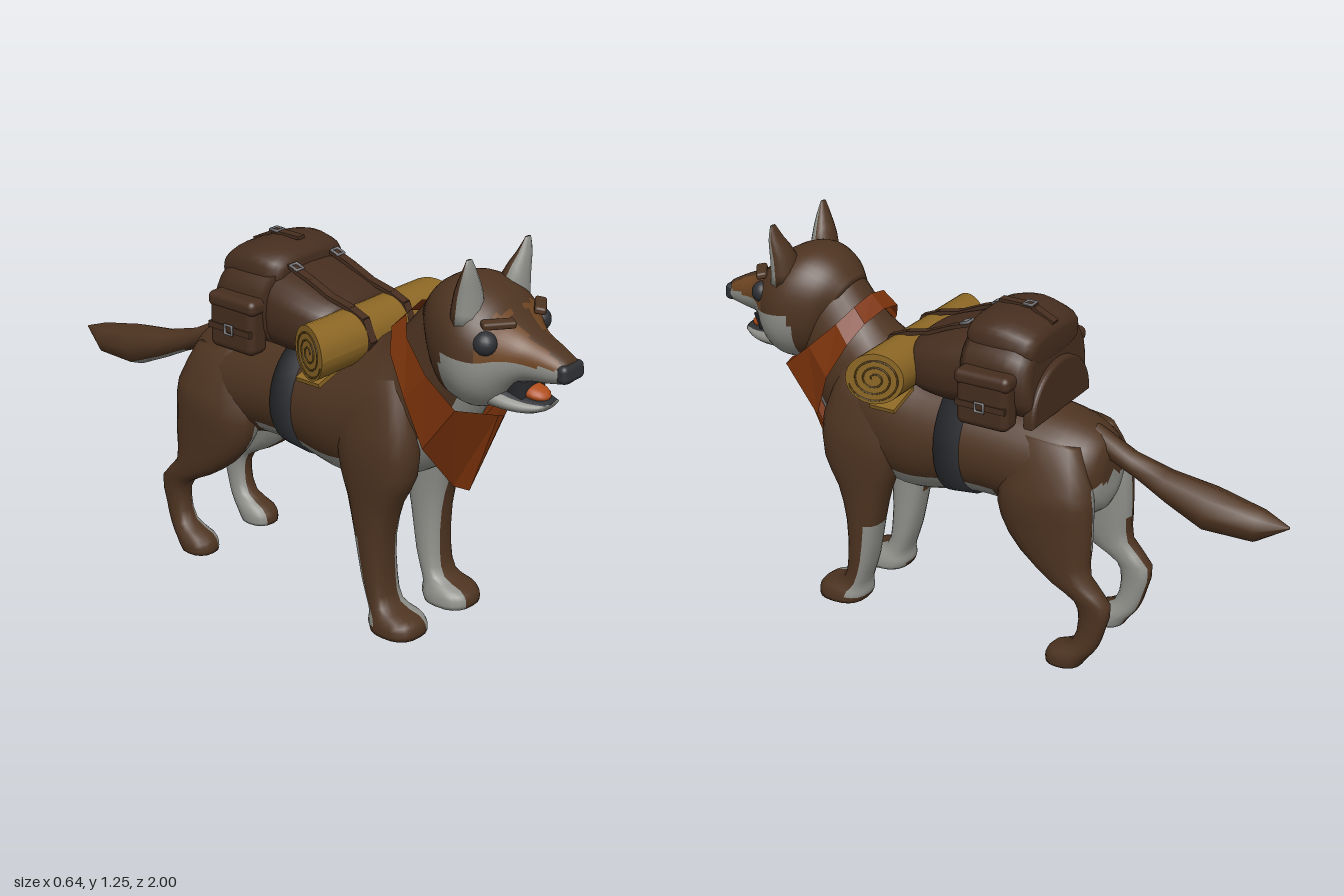
import * as THREE from 'three';
import { RoundedBoxGeometry } from 'three/addons/geometries/RoundedBoxGeometry.js';

const mat = (name, color, side = THREE.FrontSide) => {
  const m = new THREE.MeshStandardMaterial({ color, side });
  m.name = name;
  return m;
};

export function createModel() {
  const model = new THREE.Group(), dog = new THREE.Group(), pack = new THREE.Group();
  model.name = 'dogWithBackpack';
  dog.name = 'dog';
  pack.name = 'backpack';
  dog.position.x = -0.01;
  model.add(dog, pack);
  const brown = mat('brown fur', 0x4e3421), white = mat('pale fur', 0x90918b);
  const tan = mat('tan fur', 0x6e4522), orange = mat('orange cloth', 0x7e340b, THREE.DoubleSide);
  const gold = mat('gold blanket', 0x8c6725), goldDark = mat('dark gold seam', 0x5c4416);
  const leather = mat('leather', 0x462e1f), dark = mat('charcoal', 0x2e3034);
  const metal = mat('buckle metal', 0x77777a), red = mat('tongue', 0xb04d1a);

  let parent = dog;
  const add = (name, geo, material, pos = [0, 0, 0], rot = [0, 0, 0]) => {
    const m = new THREE.Mesh(geo, material);
    m.name = name;
    m.position.set(...pos);
    m.rotation.set(...rot);
    parent.add(m);
    return m;
  };

  // Skin over oval rings [zA, yA, zB, yB, halfWidth, xCentre]; A and B are opposite points of the ring.
  // rule(|x|, y, z, c) picks the material of a face; c runs from 1 at A to -1 at B.
  function loft(name, rings, mats, rule = () => 0, { n = 24, sub = 3, p = 1, s = 1 } = {}) {
    const rows = [];
    const R = i => rings[Math.min(Math.max(i, 0), rings.length - 1)];
    for (let i = 0; i < rings.length - 1; i++) {
      for (let k = 0; k < sub; k++) {
        const t = k / sub;
        rows.push(R(i).map((b, q) => {
          const a = R(i - 1)[q], c = R(i + 1)[q], d = R(i + 2)[q];
          return b + 0.5 * t * (c - a + t * (2 * a - 5 * b + 4 * c - d + t * (3 * (b - c) + d - a)));
        }));
      }
    }
    rows.push(R(rings.length));
    const pos = [], cs = [], groups = mats.map(() => []);
    const pw = v => Math.sign(v) * Math.abs(v) ** p;
    for (const [za, ya, zb, yb, w, xc = 0] of rows) {
      for (let j = 0; j < n; j++) {
        const a = (j / n) * Math.PI * 2, c = pw(Math.cos(a));
        pos.push(s * (xc + w * pw(Math.sin(a))), (ya + yb + c * (ya - yb)) / 2, (za + zb + c * (za - zb)) / 2);
        cs.push(c);
      }
    }
    for (const [za, ya, zb, yb, , xc = 0] of [rows[0], rows.at(-1)]) {
      pos.push(s * xc, (ya + yb) / 2, (za + zb) / 2);
      cs.push(0);
    }
    const face = (...ids) => {
      const mean = f => ids.reduce((sum, i) => sum + f(i), 0) / ids.length;
      const g = groups[rule(mean(i => Math.abs(pos[3 * i])), mean(i => pos[3 * i + 1]), mean(i => pos[3 * i + 2]), mean(i => cs[i]))];
      for (let k = 1; k < ids.length - 1; k++) {
        g.push(...(s > 0 ? [ids[0], ids[k], ids[k + 1]] : [ids[0], ids[k + 1], ids[k]]));
      }
    };
    const last = (rows.length - 1) * n;
    for (let j = 0; j < n; j++) {
      const j1 = (j + 1) % n;
      for (let i = 0; i < last; i += n) face(i + j, i + n + j, i + n + j1, i + j1);
      face(last + n, j, j1);
      face(last + n + 1, last + j1, last + j);
    }
    const geo = new THREE.BufferGeometry();
    geo.setAttribute('position', new THREE.Float32BufferAttribute(pos, 3));
    geo.setIndex(groups.flat());
    let start = 0;
    groups.forEach((g, i) => { geo.addGroup(start, g.length, i); start += g.length; });
    geo.computeVertexNormals();
    return add(name, geo, mats);
  }

  // Body and neck
  const fur = [brown, white];
  loft('body', [
    [-0.42, 0.69, -0.42, 0.56, 0.05], [-0.39, 0.74, -0.40, 0.49, 0.12], [-0.30, 0.78, -0.30, 0.44, 0.17],
    [-0.20, 0.80, -0.20, 0.43, 0.18], [-0.08, 0.81, -0.08, 0.455, 0.185], [0.06, 0.83, 0.06, 0.45, 0.19],
    [0.20, 0.85, 0.20, 0.42, 0.20], [0.32, 0.89, 0.30, 0.42, 0.198], [0.38, 0.92, 0.45, 0.47, 0.182],
    [0.43, 0.97, 0.57, 0.55, 0.148], [0.47, 1.02, 0.65, 0.68, 0.138], [0.53, 1.09, 0.70, 0.79, 0.132],
    [0.58, 1.10, 0.71, 0.82, 0.125]], fur,
  (x, y, z) => (z > -0.08 && y < 0.53) || (z > 0.5 && x < 0.12 && y < 0.78) || (z < -0.34 && y < 0.6) ? 1 : 0, { n: 32 });

  // Tail, tip to root
  loft('tail', [
    [-1.0, 0.577, -1.0, 0.57, 0.004], [-0.91, 0.61, -0.90, 0.505, 0.055], [-0.75, 0.645, -0.74, 0.505, 0.074],
    [-0.60, 0.665, -0.62, 0.56, 0.057], [-0.48, 0.70, -0.52, 0.61, 0.04], [-0.36, 0.765, -0.40, 0.66, 0.035]],
  fur, (x, y, z, c) => (c < -0.7 && z < -0.5 ? 1 : 0), { n: 8, sub: 1 });

  // Head and muzzle
  loft('head', [
    [0.50, 1.06, 0.60, 0.86, 0.10], [0.55, 1.12, 0.62, 0.80, 0.145], [0.62, 1.155, 0.66, 0.78, 0.173],
    [0.69, 1.15, 0.72, 0.775, 0.185], [0.76, 1.115, 0.77, 0.80, 0.166], [0.81, 1.065, 0.82, 0.86, 0.12],
    [0.86, 1.03, 0.86, 0.885, 0.085], [0.93, 1.0, 0.93, 0.895, 0.062], [0.985, 0.972, 0.98, 0.905, 0.046]],
  [brown, white, tan], (x, y, z) => {
    if (z > 0.65 && y < 0.955 + 0.15 * Math.max(0, x - 0.08)) return 1;
    return z > 0.77 && x > 0.035 && y < 1.085 ? 2 : 0;
  }, { n: 40, sub: 4, p: 0.9 });
  loft('lowerJaw', [
    [0.70, 0.90, 0.70, 0.785, 0.10], [0.80, 0.86, 0.80, 0.785, 0.09], [0.87, 0.842, 0.87, 0.79, 0.068],
    [0.925, 0.835, 0.912, 0.806, 0.04]], [white, dark], (x, y, z, c) => (c > 0.5 && z > 0.78 ? 1 : 0), { n: 20 });
  add('mouth', new THREE.CylinderGeometry(0.09, 0.07, 0.07, 4).rotateY(Math.PI / 4), dark, [0, 0.86, 0.805]);
  add('tongue', new THREE.SphereGeometry(1, 16, 10), red, [0, 0.85, 0.865], [0.2, 0, 0]).scale.set(0.04, 0.022, 0.05);
  add('nose', new RoundedBoxGeometry(0.1, 0.055, 0.04, 3, 0.017), dark, [0, 0.94, 0.978], [-0.1, 0, 0]);

  // Paired parts: ears, eyes, brows, legs
  for (const s of [1, -1]) {
    const side = s > 0 ? 'left' : 'right';
    loft(side + 'Ear', [
      [0.65, 1.06, 0.745, 1.04, 0.06, 0.108], [0.665, 1.14, 0.74, 1.13, 0.052, 0.113],
      [0.695, 1.20, 0.735, 1.20, 0.031, 0.13], [0.715, 1.245, 0.725, 1.245, 0.012, 0.138]],
    fur, (x, y, z, c) => (c < -0.1 ? 1 : 0), { n: 12, sub: 2, s });
    add(side + 'Eye', new THREE.SphereGeometry(0.036, 16, 12), dark, [s * 0.13, 1.01, 0.777]);
    add(side + 'Brow', new RoundedBoxGeometry(0.1, 0.022, 0.035, 2, 0.008), brown,
      [s * 0.1, 1.065, 0.8], [0.2, s * 0.6, s * -0.1]);
    loft(side + 'FrontLeg', [
      [0.48, 0.82, 0.26, 0.78, 0.04, 0.12], [0.54, 0.66, 0.26, 0.62, 0.073, 0.135], [0.54, 0.52, 0.28, 0.50, 0.073, 0.138],
      [0.49, 0.42, 0.31, 0.42, 0.067, 0.137], [0.46, 0.30, 0.34, 0.30, 0.062, 0.137], [0.46, 0.16, 0.37, 0.16, 0.06, 0.133],
      [0.48, 0.08, 0.40, 0.07, 0.061, 0.132], [0.55, 0.055, 0.40, 0.04, 0.073, 0.132], [0.575, 0.03, 0.40, 0.02, 0.08, 0.132],
      [0.575, 0, 0.41, 0, 0.08, 0.132]], fur,
    (x, y, z, c) => (y < 0.6 && x < 0.105) || (c < -0.4 && y < 0.28 && y > 0.02) || y < 0.002 ? 1 : 0, { n: 20, sub: 2, p: 0.8, s });
    loft(side + 'HindLeg', [
      [-0.16, 0.74, -0.36, 0.72, 0.035, 0.11], [-0.10, 0.57, -0.41, 0.60, 0.078, 0.13], [-0.11, 0.46, -0.42, 0.50, 0.073, 0.135],
      [-0.18, 0.36, -0.42, 0.40, 0.062, 0.14], [-0.29, 0.28, -0.42, 0.31, 0.05, 0.145], [-0.37, 0.235, -0.49, 0.23, 0.04, 0.145],
      [-0.39, 0.17, -0.475, 0.14, 0.036, 0.145], [-0.37, 0.09, -0.45, 0.07, 0.042, 0.145], [-0.30, 0.055, -0.42, 0.03, 0.056, 0.145],
      [-0.28, 0.025, -0.41, 0.015, 0.058, 0.145], [-0.28, 0, -0.40, 0, 0.056, 0.145]], fur,
    (x, y) => (x < 0.128 && y < 0.6) || y < 0.002 ? 1 : 0, { n: 16, sub: 2, p: 0.85, s });
  }

  // Bandana: upper and lower edge points, nape to throat, mirrored
  const upper = [[0, 1.025, 0.45], [0.085, 1.005, 0.46], [0.13, 0.955, 0.50], [0.155, 0.87, 0.59], [0.143, 0.785, 0.69], [0.02, 0.75, 0.755], [0, 0.745, 0.76]];
  const lower = [[0, 0.98, 0.405], [0.095, 0.96, 0.415], [0.145, 0.90, 0.45], [0.164, 0.78, 0.52], [0.143, 0.63, 0.575], [0.02, 0.475, 0.60], [0, 0.468, 0.645]];
  const flip = ([x, y, z]) => [-x, y, z];
  const cloth = [];
  for (let i = 0; i < upper.length - 1; i++) {
    const [a, b, c, d] = [upper[i], upper[i + 1], lower[i + 1], lower[i]];
    cloth.push(a, b, c, a, c, d, ...[a, c, b, a, d, c].map(flip));
  }
  const bandana = new THREE.BufferGeometry();
  bandana.setAttribute('position', new THREE.Float32BufferAttribute(cloth.flat(), 3));
  bandana.computeVertexNormals();
  add('bandana', bandana, orange);

  // Belly belt
  loft('bellyBelt', [[0.02, 0.835, 0.02, 0.444, 0.195], [0.105, 0.85, 0.105, 0.434, 0.2]], [dark], undefined, { n: 32, sub: 1 });

  // Backpack: main bag, rear bag with lid, arched rear pouch, side pockets
  parent = pack;
  loft('mainBag', [
    [-0.02, 1.05, -0.02, 0.78, 0.195], [0.08, 1.025, 0.08, 0.78, 0.195], [0.17, 0.995, 0.17, 0.79, 0.18],
    [0.21, 0.975, 0.21, 0.80, 0.15], [0.23, 0.94, 0.23, 0.82, 0.10]], [leather], undefined, { p: 0.75 });
  loft('rearBag', [
    [-0.22, 1.0, -0.235, 0.79, 0.15], [-0.215, 1.03, -0.235, 0.78, 0.18], [-0.17, 1.06, -0.19, 0.78, 0.205],
    [-0.08, 1.07, -0.08, 0.78, 0.205], [0.0, 1.06, 0.0, 0.78, 0.20]], [leather], undefined, { p: 0.75 });
  loft('lid', [
    [-0.225, 1.04, -0.225, 0.97, 0.13], [-0.20, 1.075, -0.20, 0.95, 0.16], [-0.10, 1.105, -0.10, 0.95, 0.172],
    [-0.01, 1.09, -0.01, 0.95, 0.16], [0.015, 1.06, 0.015, 0.97, 0.13]], [leather], undefined, { p: 0.7 });
  const arch = new THREE.Shape().absellipse(0, 0, 0.17, 0.15, 0, Math.PI);
  add('rearPouch', new THREE.ExtrudeGeometry(arch, { depth: 0.02, bevelSize: 0.01, bevelThickness: 0.01, curveSegments: 20 }),
    leather, [0, 0.795, -0.235]);

  const buckle = (name, pos, rot) =>
    add(name, new THREE.TorusGeometry(0.02, 0.005, 6, 4).rotateZ(Math.PI / 4), metal, pos, rot);
  for (const s of [1, -1]) {
    add('sidePocket', new RoundedBoxGeometry(0.08, 0.16, 0.18, 3, 0.025), leather, [s * 0.21, 0.865, -0.10]);
    add('pocketFlap', new RoundedBoxGeometry(0.09, 0.05, 0.19, 3, 0.02), leather, [s * 0.207, 0.94, -0.10]);
    add('pocketStrap', new THREE.BoxGeometry(0.012, 0.02, 0.17), leather, [s * 0.248, 0.86, -0.10]);
    buckle('pocketBuckle', [s * 0.256, 0.86, -0.10], [0, Math.PI / 2, 0]);
    // Straps running over the bag and round the bedroll
    const strap = [[0.0, 1.055], [0.09, 1.024], [0.17, 0.99], [0.25, 0.972], [0.305, 0.95], [0.335, 0.885], [0.315, 0.82]];
    for (let i = 0; i < strap.length - 1; i++) {
      const [z0, y0] = strap[i], [z1, y1] = strap[i + 1];
      add('bedrollStrap', new THREE.BoxGeometry(0.03, 0.012, Math.hypot(z1 - z0, y1 - y0) + 0.008), leather,
        [s * 0.095, (y0 + y1) / 2, (z0 + z1) / 2], [Math.atan2(y0 - y1, z1 - z0), 0, 0]);
    }
    buckle('strapBuckle', [s * 0.095, 1.052, 0.035], [-Math.PI / 2 + 0.35, 0, 0]);
  }
  add('lidStrap', new THREE.BoxGeometry(0.03, 0.01, 0.12), leather, [0, 1.107, -0.09]);
  add('lidBackStrap', new THREE.BoxGeometry(0.03, 0.01, 0.08), leather, [0, 1.085, -0.18], [-0.45, 0, 0]);
  buckle('lidBuckle', [0, 1.112, -0.13], [-Math.PI / 2, 0, 0]);

  // Bedroll with slanted ends and a spiral seam on each
  const roll = new THREE.CylinderGeometry(0.083, 0.083, 0.57, 28).rotateZ(Math.PI / 2);
  const rp = roll.attributes.position;
  for (let i = 0; i < rp.count; i++) rp.setX(i, rp.getX(i) + Math.sign(rp.getX(i)) * 0.42 * rp.getZ(i));
  roll.computeVertexNormals();
  add('bedroll', roll, gold, [0, 0.885, 0.25]);
  for (const s of [1, -1]) {
    const pts = Array.from({ length: 50 }, (_, i) => {
      const a = i * 0.38, r = 0.01 + 0.066 * i / 49, z = Math.cos(a) * r;
      return new THREE.Vector3(s * (0.285 + 0.42 * z), Math.sin(a) * r, z);
    });
    add('bedrollSpiral', new THREE.TubeGeometry(new THREE.CatmullRomCurve3(pts), 100, 0.003, 5), goldDark, [0, 0.885, 0.25]);
    add('blanketEdge', new THREE.BoxGeometry(0.12, 0.014, 0.09), gold, [s * 0.215, 0.802, 0.235], [0, 0, s * -0.3]);
  }
  return model;
}
